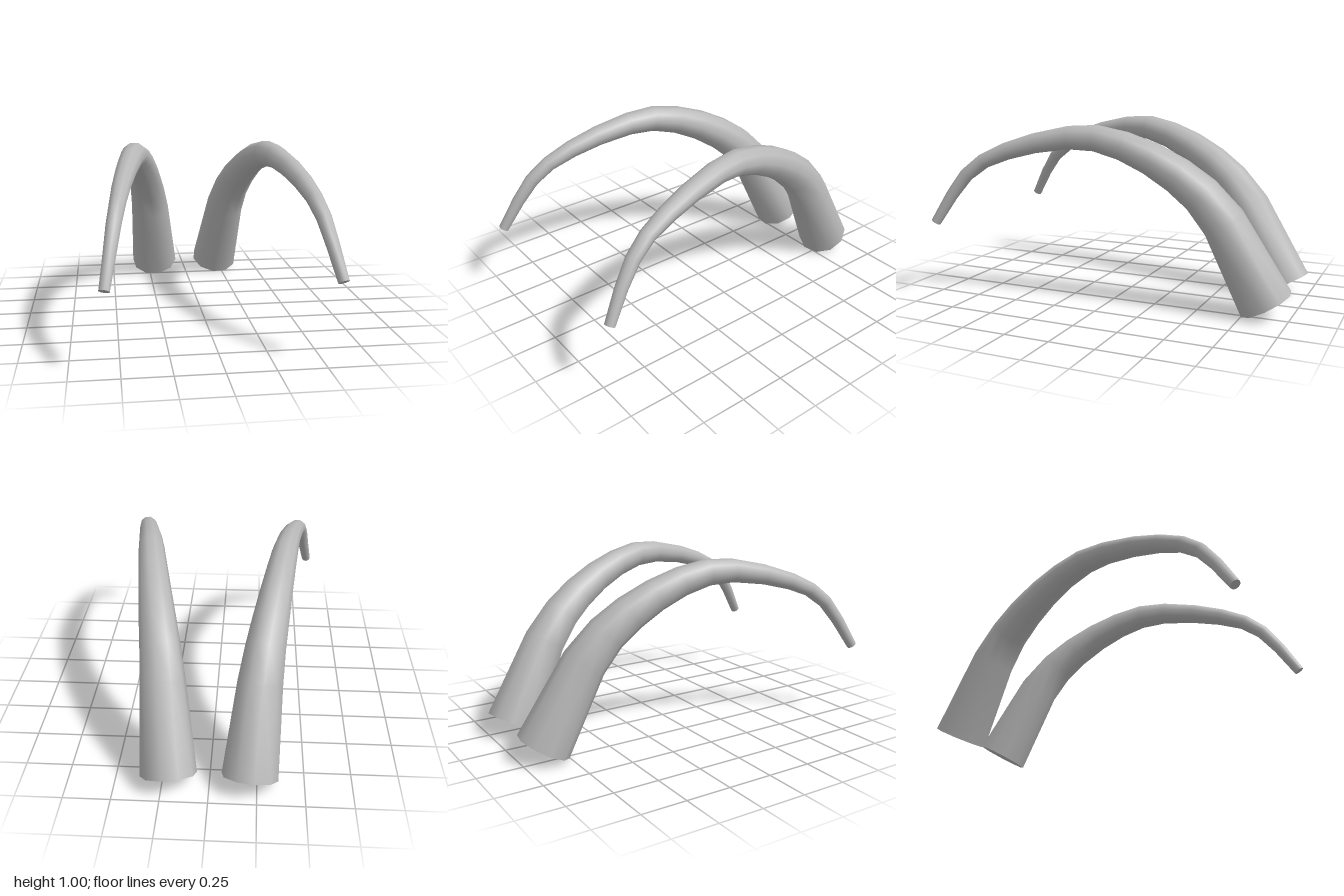
import * as THREE from 'three';

const SIDES = 10;

// Centre line and radius from the thick root to the thin tip: [x, y, z, r]
const STATIONS = [
  [0.212, 0.07, -0.87, 0.150],
  [0.252, 0.50, -0.64, 0.120],
  [0.275, 0.643, -0.52, 0.108],
  [0.300, 0.742, -0.396, 0.099],
  [0.327, 0.827, -0.253, 0.089],
  [0.353, 0.89, -0.105, 0.080],
  [0.378, 0.928, 0.047, 0.073],
  [0.403, 0.927, 0.20, 0.065],
  [0.437, 0.892, 0.391, 0.057],
  [0.466, 0.843, 0.555, 0.050],
  [0.490, 0.783, 0.692, 0.043],
  [0.513, 0.702, 0.795, 0.039],
  [0.536, 0.585, 0.882, 0.034],
  [0.567, 0.426, 0.978, 0.028],
];

// Ten-sided rings square to the centre line, kept level
function makeRings(side) {
  const centres = STATIONS.map(([x, y, z]) => new THREE.Vector3(x * side, y, z));
  const last = centres.length - 1;
  return centres.map((c, i) => {
    const t = new THREE.Vector3();
    if (i > 0) t.add(c.clone().sub(centres[i - 1]).normalize());
    if (i < last) t.add(centres[i + 1].clone().sub(c).normalize());
    t.normalize();
    const u = new THREE.Vector3(t.z, 0, -t.x).normalize();
    const v = t.clone().cross(u);
    return Array.from({ length: SIDES }, (_, k) => {
      const a = (k / SIDES) * Math.PI * 2;
      return c.clone()
        .addScaledVector(u, Math.cos(a) * STATIONS[i][3])
        .addScaledVector(v, Math.sin(a) * STATIONS[i][3]);
    });
  });
}

function makeGeometry(points, index) {
  const geometry = new THREE.BufferGeometry().setFromPoints(points);
  geometry.setIndex(index);
  geometry.computeVertexNormals();
  return geometry;
}

// Smooth skin joining the rings
function skinGeometry(rings) {
  const index = [];
  for (let i = 0; i < rings.length - 1; i++) {
    for (let k = 0; k < SIDES; k++) {
      const a = i * SIDES + k;
      const b = i * SIDES + ((k + 1) % SIDES);
      index.push(a, b, a + SIDES, b, b + SIDES, a + SIDES);
    }
  }
  return makeGeometry(rings.flat(), index);
}

// Flat end face
function capGeometry(ring, atRoot) {
  const index = [];
  for (let k = 1; k < SIDES - 1; k++) {
    if (atRoot) index.push(0, k + 1, k);
    else index.push(0, k, k + 1);
  }
  return makeGeometry(ring, index);
}

export function createModel() {
  const model = new THREE.Group();
  model.name = 'tusks';
  const grey = new THREE.MeshStandardMaterial({ color: 0xb8b8b8 });
  grey.name = 'grey';

  for (const [side, label] of [[1, 'left'], [-1, 'right']]) {
    const tusk = new THREE.Group();
    tusk.name = `${label}Tusk`;
    const rings = makeRings(side);
    const parts = {
      shaft: skinGeometry(rings),
      rootCap: capGeometry(rings[0], true),
      tipCap: capGeometry(rings[rings.length - 1], false),
    };
    for (const [name, geometry] of Object.entries(parts)) {
      const mesh = new THREE.Mesh(geometry, grey);
      mesh.name = name;
      tusk.add(mesh);
    }
    model.add(tusk);
  }
  return model;
}
